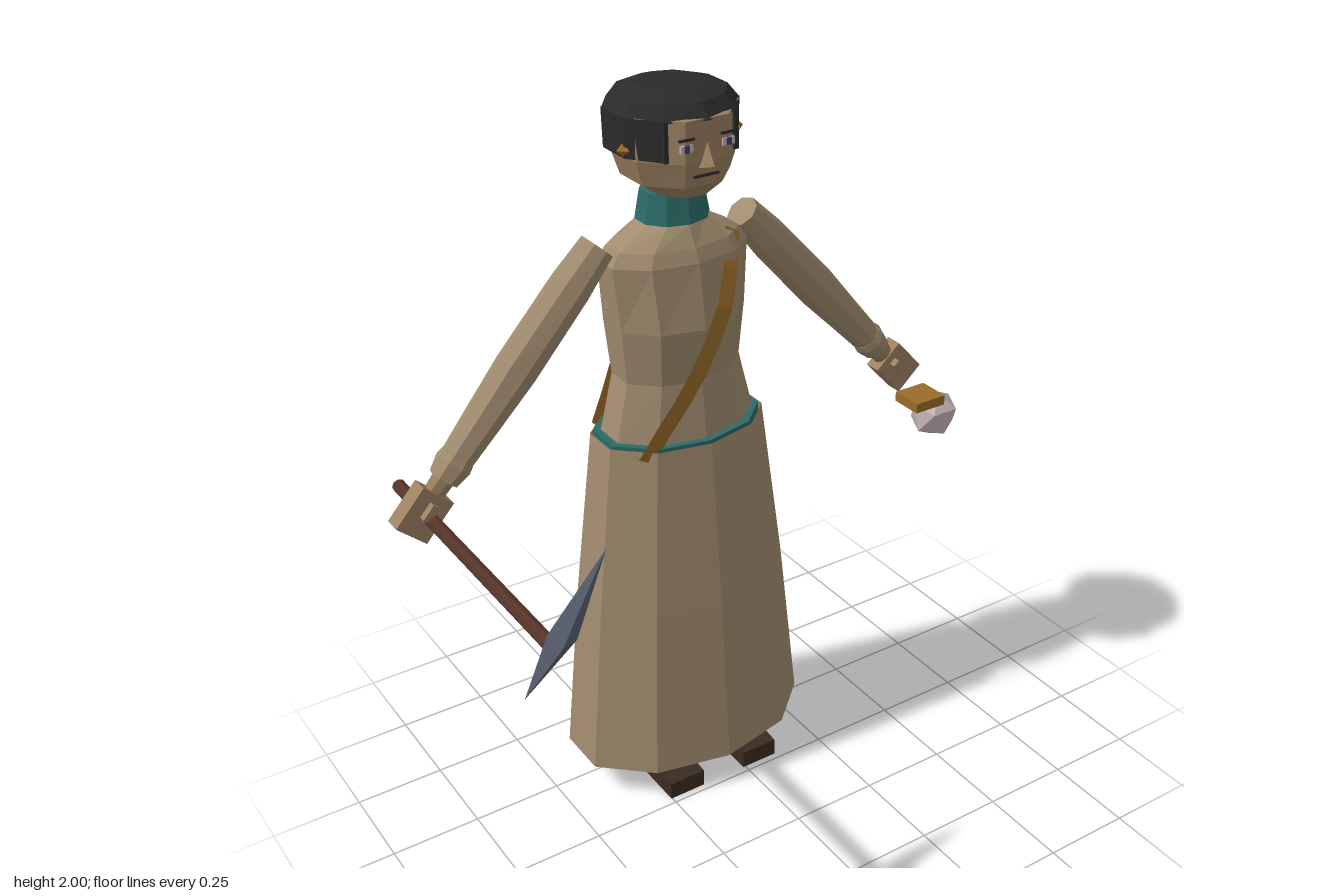
import * as THREE from 'three';
import { ConvexGeometry } from 'three/addons/geometries/ConvexGeometry.js';

const mat = (name, color, side = THREE.FrontSide) =>
  new THREE.MeshStandardMaterial({ name, color, side, flatShading: true });

// Skin of elliptical rings, listed bottom to top as [y, radiusX, radiusZ, shiftZ]
function loft(rings, sides, turn = 0) {
  const pos = [], index = [];
  for (const [y, rx, rz = rx, dz = 0] of rings) {
    for (let j = 0; j < sides; j++) {
      const a = (j / sides) * Math.PI * 2 + turn;
      pos.push(Math.sin(a) * rx, y, Math.cos(a) * rz + dz);
    }
  }
  for (let i = 0; i < rings.length - 1; i++) {
    for (let j = 0; j < sides; j++) {
      const k = (j + 1) % sides;
      const a = i * sides + j, b = i * sides + k, c = b + sides, d = a + sides;
      if (rings[i][1] > 0) index.push(a, b, c);
      if (rings[i + 1][1] > 0) index.push(a, c, d);
      else if (rings[i][1] > 0) index.pop(), index.push(c);
    }
  }
  const g = new THREE.BufferGeometry();
  g.setAttribute('position', new THREE.Float32BufferAttribute(pos, 3));
  g.setIndex(index);
  g.computeVertexNormals();
  return g;
}

// Closed ribbon over one shoulder, mirrored from chest to back
function strapGeometry() {
  const depth = [0.06, 0.12, 0.16, 0.172, 0.172, 0.16, 0.14, 0.125];
  const n = depth.length, path = [];
  depth.forEach((d, i) => path.push([i / (n - 1), d]));
  for (let i = n - 1; i >= 0; i--) path.push([i / (n - 1), -depth[i]]);
  const pos = [], index = [];
  path.forEach(([t, z], i) => {
    const x = 0.14 - 0.31 * t, y = 1.61 - 0.55 * t;
    pos.push(x - 0.021, y + 0.012, z, x + 0.021, y - 0.012, z);
    const a = i * 2, b = ((i + 1) % path.length) * 2;
    index.push(a, b, b + 1, a, b + 1, a + 1);
  });
  const g = new THREE.BufferGeometry();
  g.setAttribute('position', new THREE.Float32BufferAttribute(pos, 3));
  g.setIndex(index);
  g.computeVertexNormals();
  return g;
}

export function createModel() {
  const model = new THREE.Group();
  model.name = 'minerFigure';
  const coat = mat('coat tan', 0xa08b6e, THREE.DoubleSide);
  const skin = mat('skin', 0x9c8162);
  const teal = mat('teal cloth', 0x2a6b68);
  const leather = mat('leather', 0x9a6c2a, THREE.DoubleSide);
  const hairMat = mat('hair black', 0x2b2b2c);
  const bootMat = mat('boot brown', 0x3a2c21);
  const wood = mat('wood', 0x553429);
  const metal = mat('metal', 0x596170);
  const stone = mat('stone', 0xc4b4b5);
  const iris = mat('iris blue', 0x39466e);

  const add = (parent, name, geometry, material, x = 0, y = 0, z = 0) => {
    const m = new THREE.Mesh(geometry, material);
    m.name = name;
    m.position.set(x, y, z);
    parent.add(m);
    return m;
  };
  const box = (w, h, d) => new THREE.BoxGeometry(w, h, d);

  const body = new THREE.Group();
  body.name = 'body';
  body.position.set(-0.075, 0, -0.232);
  model.add(body);

  // Clothing
  add(body, 'skirt', loft([[0.1, 0.363, 0.245], [0.6, 0.31, 0.212], [1.085, 0.247, 0.172]], 10), coat);
  add(body, 'waistband', loft([[1.06, 0.238, 0.164], [1.091, 0.238, 0.164], [1.091, 0, 0]], 10), teal);
  add(body, 'torso', loft([
    [1.075, 0.222, 0.148], [1.25, 0.179, 0.128], [1.4, 0.193, 0.15],
    [1.57, 0.208, 0.125], [1.605, 0.185, 0.11], [1.655, 0.09, 0.08], [1.655, 0, 0]], 10), coat);
  add(body, 'strap', strapGeometry(), leather);
  add(body, 'neck', loft([[1.62, 0.05], [1.78, 0.042]], 8), skin);
  add(body, 'collar', loft([[1.66, 0, 0], [1.66, 0.098, 0.088], [1.735, 0.084, 0.075], [1.735, 0, 0]], 10), teal);

  // Head and hair
  add(body, 'head', loft([
    [1.74, 0, 0, 0.02], [1.74, 0.075, 0.1, 0.02], [1.78, 0.135, 0.142, 0.02],
    [1.845, 0.157, 0.16, 0.02], [1.95, 0.157, 0.162, 0.02], [1.96, 0, 0, 0.02]], 8, Math.PI / 8), skin);
  add(body, 'hairTop', loft([
    [1.945, 0, 0], [1.945, 0.172, 0.169], [1.982, 0.142, 0.14], [2.0, 0.085, 0.085], [2.0, 0, 0]], 10), hairMat, 0, 0, 0.006);
  const hairSides = add(body, 'hairSides',
    new THREE.CylinderGeometry(0.172, 0.17, 0.1, 8, 1, true, Math.PI / 5, Math.PI * 1.6), hairMat, 0, 1.9, 0.006);
  hairSides.scale.z = 0.98;
  for (const s of [-1, 1]) {
    // Front edges of the side hair
    add(body, 'hairEdge', box(0.012, 0.1, 0.03), hairMat, s * 0.098, 1.9, 0.13);
    add(body, 'ear', new THREE.OctahedronGeometry(0.022), leather, s * 0.157, 1.87, 0.05);
    add(body, 'eyeWhite', box(0.034, 0.018, 0.006), stone, s * 0.058, 1.885, 0.169);
    add(body, 'iris', box(0.014, 0.018, 0.006), iris, s * 0.058, 1.885, 0.171);
    add(body, 'eyebrow', box(0.042, 0.006, 0.006), hairMat, s * 0.058, 1.907, 0.17);
  }
  add(body, 'nose', new ConvexGeometry([
    [0, 1.9, 0.165], [-0.026, 1.83, 0.16], [0.026, 1.83, 0.16], [0, 1.84, 0.2]
  ].map(p => new THREE.Vector3(...p))), skin);
  add(body, 'mouth', box(0.07, 0.006, 0.008), hairMat, 0, 1.81, 0.161);

  for (const s of [-1, 1]) {
    // Arm, hanging down its own y axis and swung outward
    const arm = new THREE.Group();
    arm.name = s > 0 ? 'leftArm' : 'rightArm';
    arm.position.set(s * 0.212, 1.62, -0.006);
    arm.rotation.z = s * 0.735;
    body.add(arm);
    add(arm, 'sleeve', loft([
      [-0.64, 0, 0], [-0.64, 0.043], [-0.5, 0.05], [-0.36, 0.058, 0.054],
      [-0.12, 0.055, 0.054], [0, 0.045, 0.048], [0, 0, 0]], 8), coat);
    add(arm, 'cuff', loft([[-0.685, 0, 0], [-0.685, 0.04], [-0.64, 0.049], [-0.62, 0.045], [-0.62, 0, 0]], 8), coat);
    add(arm, 'wrist', loft([[-0.74, 0.03, 0.022], [-0.66, 0.033, 0.028]], 8), skin);
    add(arm, 'hand', box(0.1, 0.122, 0.05), skin, 0, -0.785, 0);
    add(arm, 'thumb', box(0.022, 0.045, 0.03), skin, 0, -0.77, 0.03);

    // Leg and boot
    const leg = new THREE.Group();
    leg.name = s > 0 ? 'leftLeg' : 'rightLeg';
    leg.position.x = s * 0.123;
    body.add(leg);
    add(leg, 'ankle', loft([[0.06, 0.035, 0.04], [0.22, 0.042, 0.045]], 8), skin);
    add(leg, 'trouserLeg', loft([[0.18, 0, 0], [0.18, 0.052], [0.55, 0.07], [1.05, 0.1]], 8), teal);
    const boot = box(0.11, 0.08, 0.235);
    const p = boot.attributes.position;
    for (let i = 0; i < p.count; i++) if (p.getY(i) > 0 && p.getZ(i) > 0) p.setY(i, 0.012);
    add(leg, 'boot', boot, bootMat, 0, 0.04, 0.095);
  }

  // Pickaxe through the right hand
  const pick = new THREE.Group();
  pick.name = 'pickaxe';
  model.add(pick);
  const handle = add(pick, 'pickHandle', new THREE.CylinderGeometry(0.018, 0.018, 0.845, 8), wood, -0.8, 1.025, 0.012);
  handle.rotation.x = Math.PI / 2;
  add(pick, 'pickHead', new ConvexGeometry([
    [-0.638, 1.205, 0.392], [-0.885, 0.93, 0.445], [-0.8, 1.05, 0.476],
    [-0.8, 1.03, 0.413], [-0.82, 1.077, 0.445], [-0.745, 1.03, 0.437]
  ].map(q => new THREE.Vector3(...q))), metal);

  // Leather block and stone below the left hand
  add(model, 'leatherBlock', box(0.105, 0.03, 0.1), leather, 0.773, 0.895, -0.24);
  const rock = new THREE.IcosahedronGeometry(0.078).rotateX(1.206).scale(1, 1, 0.88);
  add(model, 'rock', rock, stone, 0.829, 0.83, -0.24);

  return model;
}
